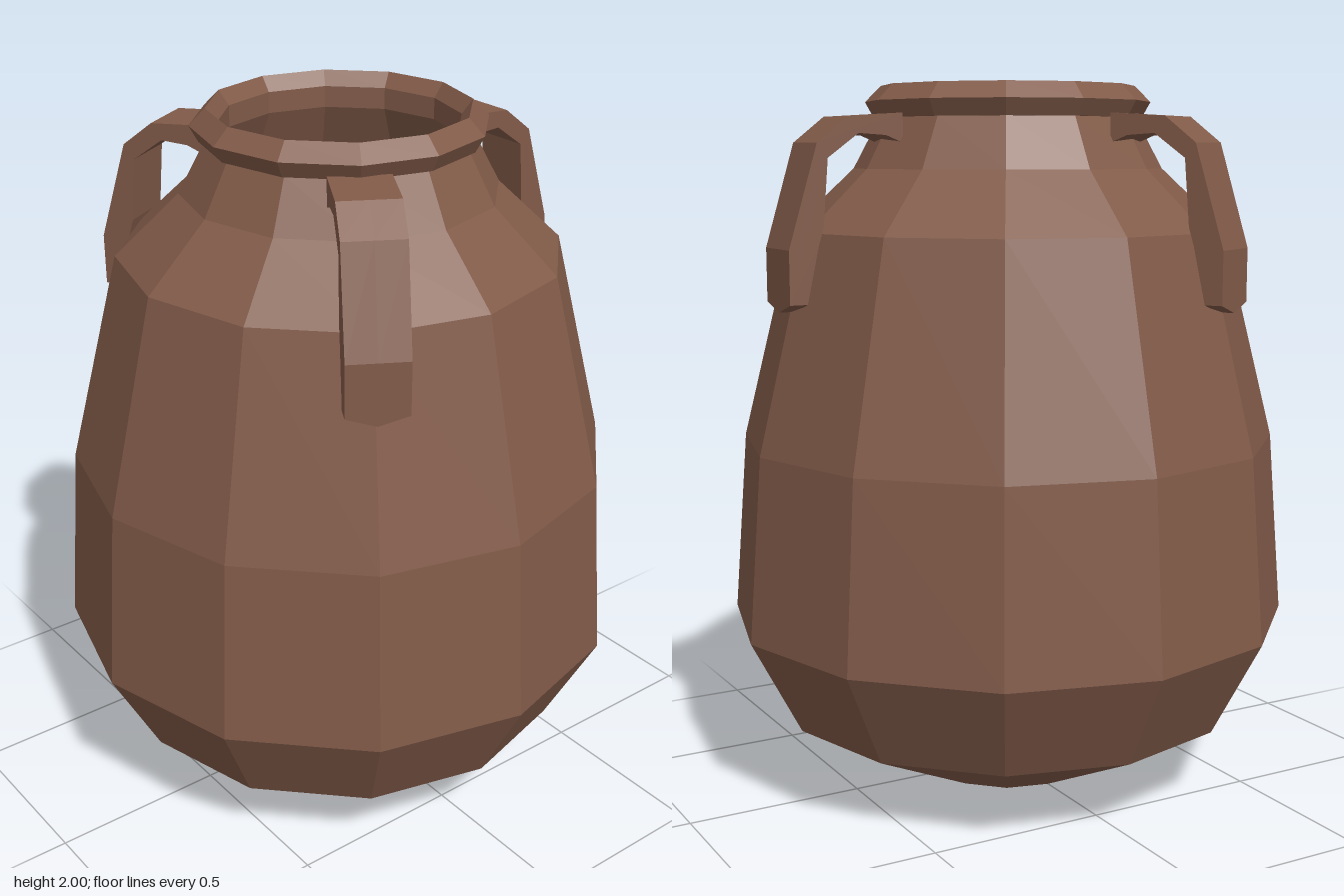
import * as THREE from 'three';

const SIDES = 12;

// Facet a geometry so every polygon has its own normal
function faceted(geometry) {
  const flat = geometry.index ? geometry.toNonIndexed() : geometry;
  flat.computeVertexNormals();
  return flat;
}

function lathe(name, profile, material) {
  const points = profile.map(([r, y]) => new THREE.Vector2(r, y));
  const mesh = new THREE.Mesh(faceted(new THREE.LatheGeometry(points, SIDES)), material);
  mesh.name = name;
  return mesh;
}

// Strap handle: side outline extruded across its width, pointed at the foot
function handleGeometry(width) {
  const outline = [
    [0.37, 1.92], [0.37, 1.84], [0.42, 1.86], [0.5, 1.865], [0.59, 1.8],
    [0.605, 1.62], [0.62, 1.57], [0.655, 1.415],
    [0.705, 1.415], [0.705, 1.56], [0.62, 1.84], [0.53, 1.91],
  ].map(([x, y]) => new THREE.Vector2(x, y));
  const geometry = new THREE.ExtrudeGeometry(new THREE.Shape(outline), {
    depth: width, steps: 2, bevelEnabled: false,
  });
  geometry.translate(0, 0, -width / 2);
  const p = geometry.attributes.position;
  for (let i = 0; i < p.count; i++) {
    if (p.getY(i) < 1.42 && Math.abs(p.getZ(i)) < 0.01) p.setY(i, 1.39);
  }
  return faceted(geometry);
}

export function createModel() {
  const clay = new THREE.MeshStandardMaterial({ color: 0x825b49 });
  clay.name = 'brown clay';
  const jar = new THREE.Group();
  jar.name = 'jar';

  // Outer wall, from the foot to the neck
  jar.add(lathe('body', [
    [0, 0], [0.24, 0], [0.665, 0.205], [0.81, 0.48], [0.77, 1.0],
    [0.62, 1.6], [0.44, 1.77], [0.365, 1.91],
  ], clay));

  // Flared lip
  jar.add(lathe('rim', [
    [0.36, 1.91], [0.38, 1.91], [0.405, 1.955], [0.36, 2.0], [0.33, 1.96],
  ], clay));

  // Hollow inside, running down to a flat floor
  jar.add(lathe('interior', [
    [0.33, 1.96], [0.33, 1.9], [0.4, 1.75], [0.57, 1.58], [0.72, 1.0],
    [0.75, 0.5], [0.61, 0.23], [0, 0.23],
  ], clay));

  // Three evenly spaced handles
  const strap = handleGeometry(0.165);
  for (let i = 0; i < 3; i++) {
    const handle = new THREE.Mesh(strap, clay);
    handle.name = `handle${i + 1}`;
    handle.rotation.y = (i * Math.PI * 2) / 3;
    jar.add(handle);
  }
  return jar;
}
